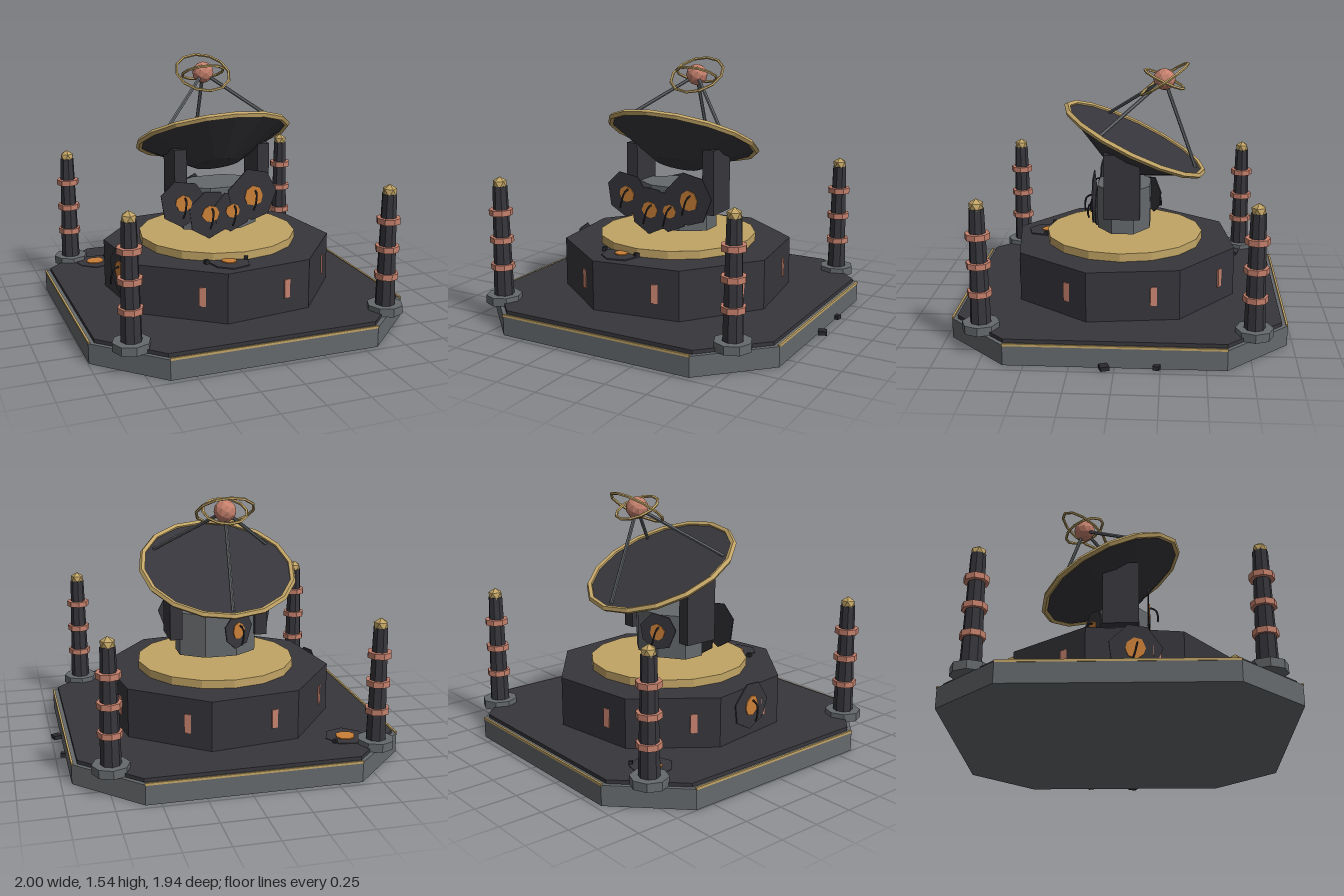
import * as THREE from 'three';

const rad = THREE.MathUtils.degToRad;

function mat(name, color) {
  const m = new THREE.MeshStandardMaterial({ color, flatShading: true });
  m.name = name;
  return m;
}

export function createModel() {
  const steel = mat('grey steel', 0x65696c);
  const hull = mat('dark hull', 0x37363c);
  const gold = mat('gold', 0xc2a566);
  const copper = mat('copper', 0xc6816d);
  const glow = mat('orange', 0xcc8038);
  const black = mat('black', 0x29292e);

  const model = new THREE.Group();
  const station = new THREE.Group();
  station.name = 'station';
  station.position.x = -0.027;
  model.add(station);

  function add(name, geo, material, x = 0, y = 0, z = 0, parent = station) {
    const mesh = new THREE.Mesh(geo, material);
    mesh.name = name;
    mesh.position.set(x, y, z);
    parent.add(mesh);
    return mesh;
  }
  const cyl = (top, bottom, h, n) => new THREE.CylinderGeometry(top, bottom, h, n);
  const box = (w, h, d) => new THREE.BoxGeometry(w, h, d);

  // Straight rod between two points
  function rod(name, a, b, r, material, parent) {
    const mesh = add(name, cyl(r, r, a.distanceTo(b), 6), material, 0, 0, 0, parent);
    mesh.position.copy(a).lerp(b, 0.5);
    mesh.quaternion.setFromUnitVectors(new THREE.Vector3(0, 1, 0), b.clone().sub(a).normalize());
  }

  // Square slab with cut corners
  function slab(half, flat, h) {
    const pts = [[half, flat], [flat, half], [-flat, half], [-half, flat],
      [-half, -flat], [-flat, -half], [flat, -half], [half, -flat]];
    const shape = new THREE.Shape(pts.map(p => new THREE.Vector2(...p)));
    return new THREE.ExtrudeGeometry(shape, { depth: h, bevelEnabled: false }).rotateX(-Math.PI / 2);
  }

  // Base, deck and gold edge strips
  add('base', slab(0.968, 0.614, 0.118), steel);
  add('deck', slab(0.935, 0.614, 0.024), hull, 0, 0.116, 0);
  for (let i = 0; i < 4; i++) {
    const strip = add('edgeStrip', box(1.23, 0.014, 0.012).translate(0, 0.12, 0.964), gold);
    strip.rotation.y = i * Math.PI / 2;
  }

  // Eight-sided building with slit windows, and turntable
  add('building', cyl(0.7, 0.7, 0.3, 8), hull, 0, 0.287, 0).rotation.y = rad(30);
  for (let i = 0; i < 8; i++) {
    const a = rad(27.2 + 45 * i);
    const w = add('window', box(0.02, 0.112, 0.04), copper, 0.653 * Math.cos(a), 0.285, 0.653 * Math.sin(a));
    w.rotation.y = -a;
  }
  add('turntable', cyl(0.482, 0.482, 0.05, 16), gold, 0, 0.461, 0);

  // Corner pylons
  const cap = new THREE.IcosahedronGeometry(0.046, 0).rotateX(-Math.atan((1 + Math.sqrt(5)) / 2));
  for (const sx of [-1, 1]) for (const sz of [-1, 1]) {
    const p = new THREE.Group();
    p.name = 'pylon';
    p.position.set(sx * 0.767, 0, sz * 0.767);
    station.add(p);
    add('foot', cyl(0.107, 0.107, 0.05, 8), steel, 0, 0.145, 0, p);
    add('shaft', cyl(0.043, 0.06, 0.67, 8), hull, 0, 0.498, 0, p);
    for (const y of [0.345, 0.51, 0.677]) add('collar', cyl(0.071, 0.071, 0.034, 8), copper, 0, y, 0, p);
    add('cap', cap, gold, 0, 0.843, 0, p);
  }

  // Hub and yoke arms
  add('hub', cyl(0.173, 0.173, 0.265, 8).rotateY(Math.PI / 8).scale(1.48, 1, 1), steel, 0, 0.66, 0);
  for (const s of [-1, 1]) add('yokeArm', box(0.076, 0.395, 0.215), hull, s * 0.265, 0.833, 0);

  // Tilted dish with rim, struts and feed ball
  const dish = new THREE.Group();
  dish.name = 'dish';
  dish.position.set(0, 1.067, -0.065);
  dish.rotation.x = rad(-25.6);
  station.add(dish);
  add('bowl', cyl(0.462, 0.14, 0.18, 16), hull, 0, -0.09, 0, dish);
  add('rim', new THREE.TorusGeometry(0.46, 0.019, 5, 16).rotateX(Math.PI / 2), gold, 0, 0, 0, dish);
  const feed = new THREE.Vector3(0, 0.405, 0);
  for (const deg of [30, 150, 270]) {
    const foot = new THREE.Vector3(0.412 * Math.cos(rad(deg)), 0, 0.412 * Math.sin(rad(deg)));
    rod('strut', foot, feed, 0.011, steel, dish);
  }
  const ball = new THREE.Group();
  ball.name = 'feed';
  ball.position.set(0, 1.433, -0.24);
  station.add(ball);
  add('feedBall', new THREE.IcosahedronGeometry(0.067, 1), copper, 0, 0, 0, ball);
  add('outerRing', new THREE.TorusGeometry(0.17, 0.009, 5, 12), gold, 0, 0, 0, ball).rotation.x = rad(-56);
  add('innerRing', new THREE.TorusGeometry(0.13, 0.009, 5, 12), gold, 0, 0, 0, ball).rotation.x = rad(65);

  // Torn patches: dark plate, orange core and a loose cable
  let seed = 7;
  const rnd = () => (seed = (seed * 16807) % 2147483647) / 2147483647;
  function blob(r, n) {
    const pts = [];
    for (let i = 0; i < n; i++) {
      const a = (i + 0.25 * rnd()) / n * Math.PI * 2;
      const q = r * (0.9 + 0.15 * rnd());
      pts.push(new THREE.Vector2(q * Math.cos(a), q * Math.sin(a)));
    }
    return new THREE.ExtrudeGeometry(new THREE.Shape(pts), { depth: 0.007, bevelEnabled: false });
  }
  const cable = new THREE.TubeGeometry(new THREE.CatmullRomCurve3([
    new THREE.Vector3(0.01, 0.03, 0), new THREE.Vector3(0.005, 0.015, 0.035),
    new THREE.Vector3(-0.01, -0.05, 0.05), new THREE.Vector3(-0.02, -0.08, 0.045),
  ]), 6, 0.006, 5);
  // position, normal, plate radius, core radius, has cable
  const patches = [
    [[-0.268, 0.72, 0.158], [0, 0, 1], 0.148, 0.052, true],
    [[-0.1, 0.64, 0.162], [0, 0, 1], 0.15, 0.056, true],
    [[0.042, 0.645, 0.166], [0, 0, 1], 0.13, 0.046, true],
    [[0.175, 0.73, 0.17], [0, 0, 1], 0.165, 0.064, true],
    [[-0.1, 0.69, -0.168], [-0.5, 0, -0.87], 0.115, 0.05, true],
    [[-0.643, 0.32, 0.085], [-0.991, 0, 0.131], 0.15, 0.06, true],
    [[-0.103, 0.437, 0.49], [0, 1, 0], 0.13, 0.045, false],
    [[-0.628, 0.137, -0.645], [0, 1, 0], 0.13, 0.06, false],
  ];
  for (const [pos, normal, r, core, hasCable] of patches) {
    const g = new THREE.Group();
    g.name = 'tornPatch';
    g.position.set(...pos);
    g.quaternion.setFromUnitVectors(new THREE.Vector3(0, 0, 1), new THREE.Vector3(...normal).normalize());
    station.add(g);
    add('patchPlate', blob(r, 7), hull, 0, 0, 0, g);
    add('patchCore', blob(core, 8), glow, 0, 0, 0.006, g);
    if (hasCable) add('looseCable', cable, black, 0, 0, 0.01, g);
  }

  // Scattered debris
  const debris = [
    [0.996, 0.016, 0.055, 0.05], [0.977, 0.015, -0.23, 0.036], [-0.54, 0.15, -0.715, 0.022],
    [-0.235, 0.45, 0.47, 0.025], [0.0, 0.45, 0.49, 0.025],
  ];
  debris.forEach(([x, y, z, s], i) => {
    add('debris', box(s, Math.min(s, 0.024), s), black, x, y, z).rotation.y = 0.35 + i;
  });

  return model;
}
